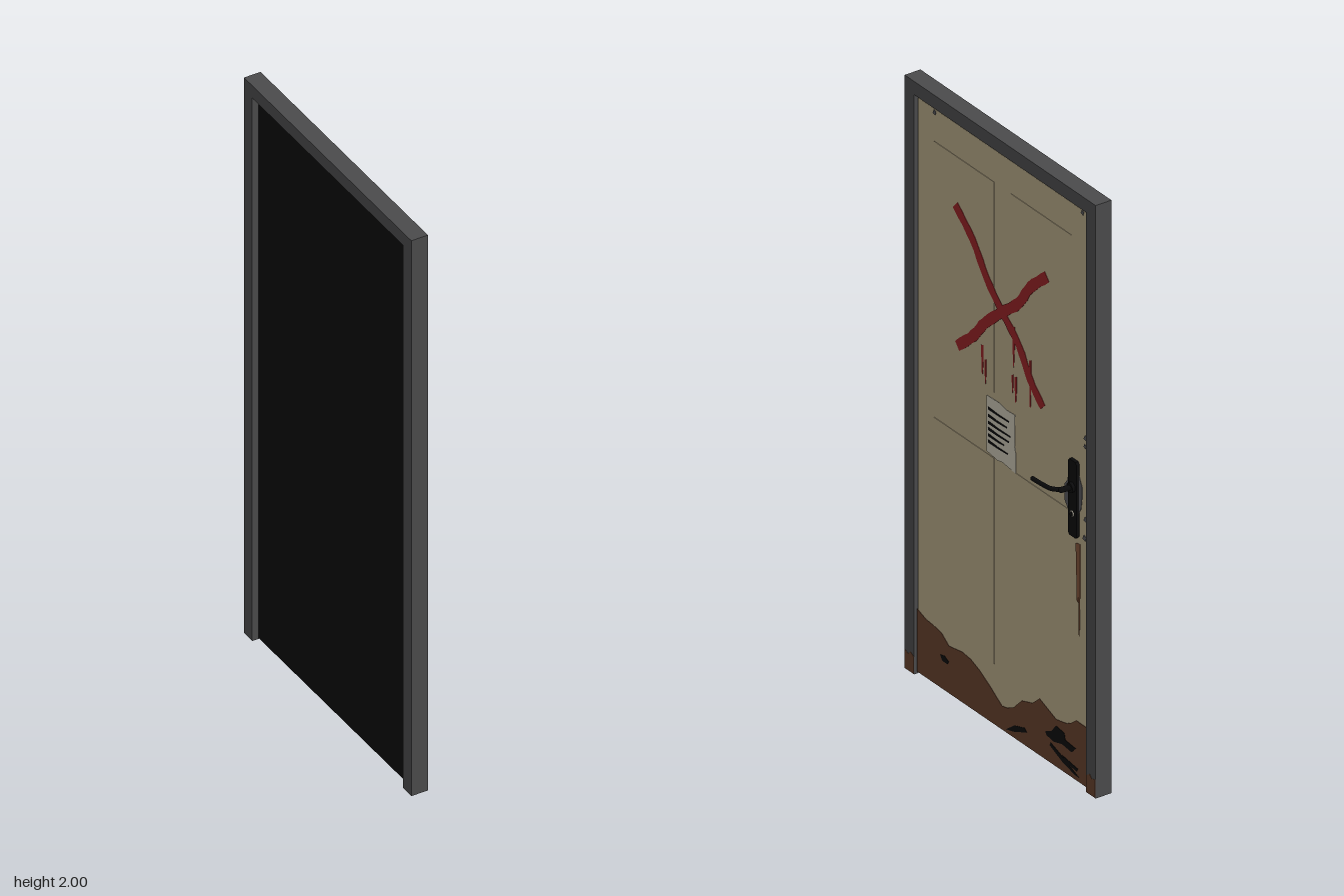
import * as THREE from 'three';

const paint = (name, color) => {
  const m = new THREE.MeshStandardMaterial({ color });
  m.name = name;
  return m;
};
const MAT = {
  frame: paint('dark grey steel', 0x4a4a4b),
  door: paint('beige paint', 0xb0a383),
  black: paint('black', 0x0a0a0b),
  rust: paint('rust brown', 0x633f2b),
  streak: paint('light rust', 0x7d5138),
  red: paint('red paint', 0x912124),
  paper: paint('paper', 0xc3beae),
  bare: paint('bare metal', 0x56565a),
};

// Outlines use a fine grid: across (towards -z) and up, CELL cells per unit
const CELL = 189;
const FACE = -0.015; // x of the door's painted face
const LAYER = 0.0012;

// Flat outline extruded towards +x, starting at x
function slab(name, outline, mat, x, depth) {
  const shape = new THREE.Shape(outline.map(([u, y]) => new THREE.Vector2(u / CELL, y / CELL)));
  const geo = new THREE.ExtrudeGeometry(shape, { depth, bevelEnabled: false });
  geo.rotateY(Math.PI / 2);
  geo.translate(x, 0, 0);
  const mesh = new THREE.Mesh(geo, mat);
  mesh.name = name;
  return mesh;
}
const rect = (u0, y0, u1, y1) => [[u0, y0], [u1, y0], [u1, y1], [u0, y1]];
const decal = (name, outline, mat, layer = 2) =>
  slab(name, outline, mat, FACE + layer * LAYER, LAYER);

// Brush stroke of nearly even width along a smooth line
function stroke(name, points, width, mat) {
  const curve = new THREE.CatmullRomCurve3(points.map(([u, y]) => new THREE.Vector3(u, y, 0)));
  const left = [], right = [];
  for (let i = 0; i <= 24; i++) {
    const p = curve.getPoint(i / 24), t = curve.getTangent(i / 24);
    const w = width / 2 * (1 + 0.08 * Math.sin(i * 2.3));
    left.push([p.x - t.y * w, p.y + t.x * w]);
    right.unshift([p.x + t.y * w, p.y - t.x * w]);
  }
  return decal(name, [...left, ...right], mat);
}
// Drip that narrows to a point
const drip = (name, u, top, bottom, w, mat) =>
  decal(name, [[u - w / 2, top - 1], [u + w / 2, top], [u + w / 2, (top + bottom) / 2],
    [u + w * 0.15, bottom], [u - w * 0.2, bottom + 1], [u - w / 3, (top + bottom) / 2]], mat);

// Round bar with a rounded tip
function tube(name, points, radius, mat) {
  const path = new THREE.CatmullRomCurve3(points.map(p => new THREE.Vector3(...p)), false, 'catmullrom', 0.3);
  const group = new THREE.Group();
  group.name = name;
  group.add(new THREE.Mesh(new THREE.TubeGeometry(path, 28, radius, 12), mat));
  const end = new THREE.Mesh(new THREE.SphereGeometry(radius, 12, 8), mat);
  end.position.set(...points[points.length - 1]);
  group.add(end);
  return group;
}

export function createModel() {
  const model = new THREE.Group();
  model.name = 'door';

  // Frame: two posts and a lintel, open at the floor
  const W = 91.7, I = 82.6, T = 369.5, H = 2 * CELL;
  model.add(slab('frame', [[-W, 0], [-I, 0], [-I, T], [I, T], [I, 0], [W, 0], [W, H], [-W, H]],
    MAT.frame, -0.062, 0.057));

  // Door leaf with a dark back that also fills the gap around the edge
  model.add(slab('doorBack', rect(-82.5, 0.5, 82.5, 369.4), MAT.black, -0.04, 0.012));
  model.add(slab('doorLeaf', rect(-81.6, 2, 81.6, 367.6), MAT.door, -0.028, FACE + 0.028));

  // Four slightly raised panels
  for (const s of [-1, 1]) {
    for (const [y0, y1] of [[40, 171], [213, 347]]) {
      model.add(slab('raisedPanel', rect(s * 8, y0, s * 66, y1), MAT.door, FACE, 0.0015));
    }
  }

  // Rust along the bottom of the leaf and the feet of the posts
  model.add(decal('bottomRust', [[-81.6, 2], [81.6, 2], [81.6, 40], [71, 40], [66, 36], [62, 34], [52, 32],
    [44, 35], [36, 38], [29, 32], [19, 29], [11, 21], [5, 18], [0, 17], [-5, 20], [-11, 24], [-22, 30],
    [-30, 33], [-38, 34], [-51, 32], [-58, 37], [-66, 38.5], [-73, 39], [-81.6, 42]], MAT.rust));
  for (const s of [-1, 1]) {
    const foot = [[-91.5, 0.2], [-82.7, 0.2], [-82.7, 11], [-86, 13], [-88, 11], [-91.5, 12]]
      .map(([u, y]) => [u * s, y]);
    model.add(slab('postRust', foot, MAT.rust, -0.005, 0.001));
  }

  // Black scuffs in the rust
  const scuffs = [
    [[-59, 23], [-55, 24], [-51, 22], [-52, 20], [-57, 20]],
    [[42, 20], [48, 23], [52, 28], [60, 27], [61, 23], [71, 22], [67, 18], [58, 19], [50, 17], [43, 18]],
    [[4, 4], [12, 6], [24, 11], [22, 13], [12, 10]],
    [[47, 15], [56, 12], [74, 5], [70, 5], [58, 8], [46, 13]],
    [[58, 12], [73, 10], [72, 8], [62, 9]],
  ];
  scuffs.forEach(s => model.add(decal('scuff', s, MAT.black, 3)));

  // Red painted cross with drips
  model.add(stroke('crossStroke', [[-45, 316], [-28, 301], [-15, 283], [0, 268], [16, 254], [27, 237], [39, 225]], 6.5, MAT.red));
  model.add(stroke('crossStroke', [[43, 310], [27, 296], [16, 281], [0, 268], [-17, 253], [-27, 241], [-43, 227]], 6.5, MAT.red));
  for (const [u, top, bottom, w] of [[-19, 239, 220, 2.4], [-16, 231, 215, 1.8], [11, 264, 238, 2.2],
    [10, 233, 221, 1.6], [13, 233, 216, 2.2], [27, 250, 219, 2]]) {
    model.add(drip('paintDrip', u, top, bottom, w, MAT.red));
  }

  // Pinned note with rows of dark marks
  model.add(decal('note', [[-15, 173], [-4, 171.5], [0, 172.5], [13, 171], [13, 184], [12, 190], [12.5, 208],
    [4, 207.5], [-3, 209], [-15, 208.5]], MAT.paper));
  for (const [end, y] of [[7, 201], [5, 196.4], [8, 192], [7, 188], [2, 184], [6, 180]]) {
    model.add(decal('noteLine', [[-13, y - 0.9], [-3, y - 0.8], [end, y - 0.3], [end, y + 0.5], [-4, y + 0.4], [-13, y + 0.9]],
      MAT.black, 3));
  }

  // Worn paint round the handle, chips on the edges, rust streak below
  model.add(decal('wornPatch', [[60, 176], [63, 172], [73, 172], [76, 177], [77, 185], [77, 191], [74, 197],
    [70, 200], [64, 198], [63, 190], [60, 186]], MAT.bare));
  for (const [u, y, r] of [[80, 224, 1.6], [79.5, 218.5, 1.3], [80, 172, 1.7], [79, 160, 1.8], [-65, 366, 1.6], [77, 366.5, 1.5]]) {
    model.add(decal('paintChip', [[u - r, y - r * 0.6], [u + r * 0.5, y - r], [u + r, y + r * 0.4], [u - r * 0.2, y + r]], MAT.bare));
  }
  model.add(drip('rustStreak', 72.5, 154, 116, 3.6, MAT.streak));
  model.add(drip('rustStreak', 74, 154, 95, 2, MAT.streak));

  // Handle: back plate, keyhole barrel and bent lever
  const handle = new THREE.Group();
  handle.name = 'handle';
  handle.add(slab('backPlate', [[66.5, 157], [72.5, 157], [73.5, 158.5], [73.5, 204], [72.5, 205.5],
    [66.5, 205.5], [65.5, 204], [65.5, 158.5]], MAT.black, FACE, 0.011));
  const barrel = (name, r, len, x, y, mat) => {
    const m = new THREE.Mesh(new THREE.CylinderGeometry(r, r, len, 16).rotateZ(Math.PI / 2), mat);
    m.name = name;
    m.position.set(x, y, -0.367);
    handle.add(m);
  };
  barrel('leverCollar', 0.016, 0.012, 0, 0.998, MAT.black);
  barrel('lockRing', 0.01, 0.005, -0.003, 0.908, MAT.paper);
  barrel('lockBarrel', 0.008, 0.006, -0.002, 0.908, MAT.black);
  handle.add(tube('leverNeck', [[-0.01, 0.998, -0.367], [0.015, 0.999, -0.367], [0.036, 1, -0.366]], 0.009, MAT.black));
  handle.add(tube('lever', [[0.034, 1, -0.366], [0.044, 1, -0.356], [0.053, 0.997, -0.335],
    [0.053, 0.992, -0.29], [0.053, 0.99, -0.247]], 0.0072, MAT.black));
  model.add(handle);

  return model;
}
